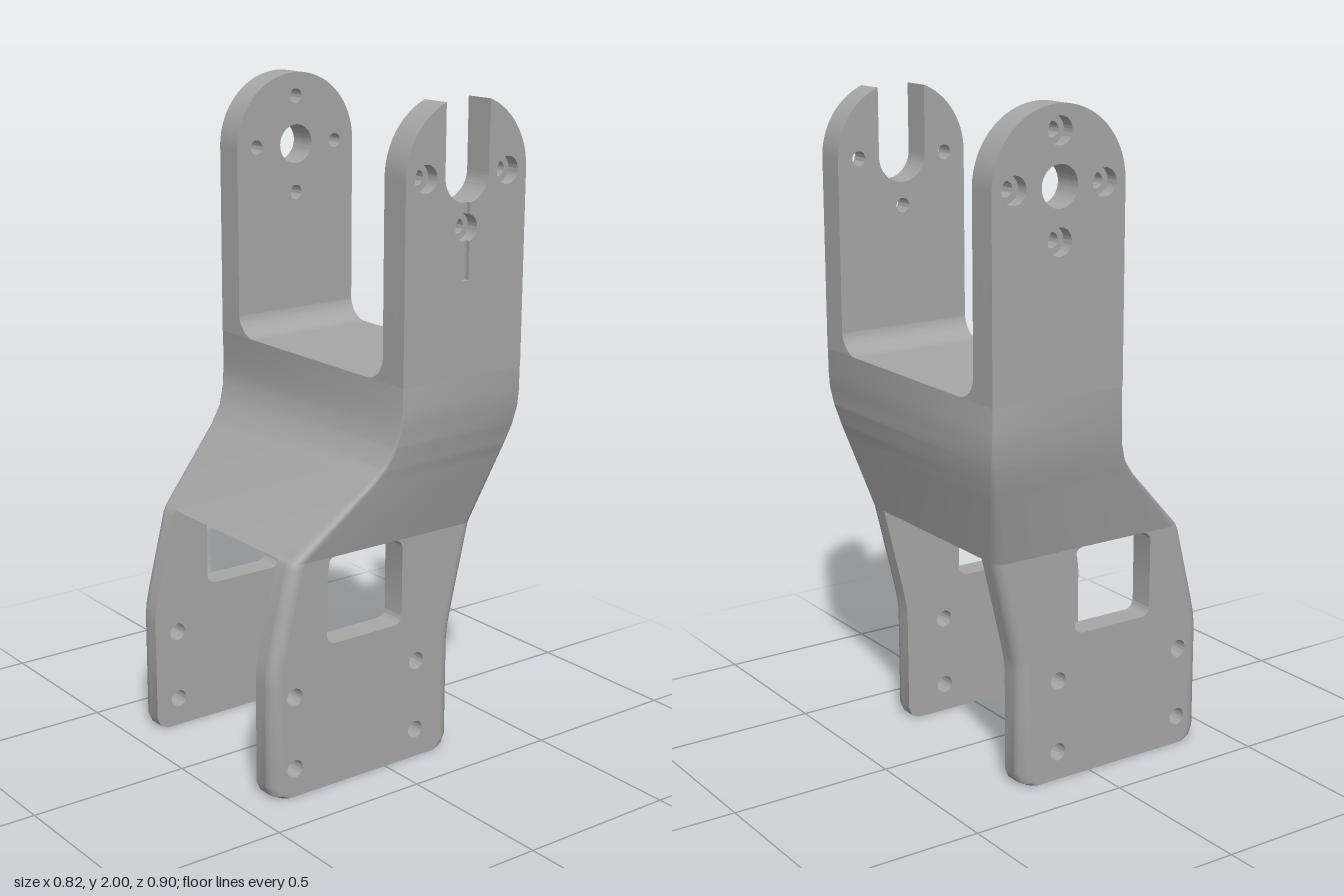
import * as THREE from 'three';
import { toCreasedNormals } from 'three/addons/utils/BufferGeometryUtils.js';

// Profiles as [y, value]: left edge, right edge and half depth of the bracket
const LEFT = [[0, -0.38], [0.012, -0.403], [0.04, -0.415], [0.37, -0.415], [0.41, -0.411], [0.46, -0.4], [0.69, -0.342],
  [0.71, -0.333], [0.92, -0.112], [0.97, -0.07], [1.03, -0.044], [1.08, -0.034], [1.13, -0.03]];
const RIGHT = [[0, 0.215], [0.012, 0.238], [0.04, 0.25], [0.35, 0.25], [0.39, 0.254], [0.44, 0.264], [0.71, 0.328],
  [0.95, 0.387], [1.02, 0.402], [1.08, 0.409], [1.13, 0.41]];
const HALF = [[0.71, 0.35], [0.96, 0.421], [1.02, 0.436], [1.08, 0.446], [1.13, 0.45]];
const PLATE_TOP = 0.74, BRIDGE_Y0 = 0.71, BRIDGE_Y1 = 1.2;
const PLATE_IN = 0.27, PLATE_OUT = 0.35, ROUND = 0.035;
const CX = 0.19, CY = 1.78, ARM_R = 0.22, SLOT_R = 0.08, BORE_R = 0.04, BOLT_R = 0.022;

function at(table, y) {
  if (y <= table[0][0]) return table[0][1];
  for (let i = 1; i < table.length; i++) {
    const [y0, v0] = table[i - 1], [y1, v1] = table[i];
    if (y <= y1) return v0 + (v1 - v0) * (y - y0) / (y1 - y0);
  }
  return table[table.length - 1][1];
}

// All profile heights between two limits
function heights(from, to) {
  const ys = [...LEFT, ...RIGHT, ...HALF].map(p => p[0]).filter(y => y > from && y < to);
  return [...new Set([from, ...ys, to])].sort((a, b) => a - b);
}

// Capped solid through convex rings stacked upwards, counter-clockwise from above
function loft(rings) {
  const n = rings[0].length, pos = [], idx = [];
  rings.forEach(r => r.forEach(p => pos.push(p.x, p.y, p.z)));
  for (let j = 0; j < rings.length - 1; j++) {
    for (let i = 0; i < n; i++) {
      const a = j * n + i, b = j * n + (i + 1) % n;
      idx.push(a, b, b + n, a, b + n, a + n);
    }
  }
  for (const j of [0, rings.length - 1]) {
    const c = new THREE.Vector3();
    rings[j].forEach(p => c.addScaledVector(p, 1 / n));
    const k = pos.length / 3;
    pos.push(c.x, c.y, c.z);
    for (let i = 0; i < n; i++) {
      const a = j * n + i, b = j * n + (i + 1) % n;
      if (j) idx.push(k, a, b); else idx.push(k, b, a);
    }
  }
  const g = new THREE.BufferGeometry();
  g.setAttribute('position', new THREE.Float32BufferAttribute(pos, 3));
  g.setIndex(idx);
  return toCreasedNormals(g, 0.45);
}

const circle = (x, y, r) => new THREE.Path().absarc(x, y, r, 0, Math.PI * 2, true);

function slab(shape, z0, z1) {
  const g = new THREE.ExtrudeGeometry(shape, { depth: z1 - z0, bevelEnabled: false, curveSegments: 28 });
  g.translate(0, 0, z0);
  return toCreasedNormals(g, 0.45);
}

// Lower side plate outline with window and four bolt holes
function plateShape(inset) {
  const ys = heights(0, PLATE_TOP);
  const pts = ys.map(y => new THREE.Vector2(at(RIGHT, y) - inset, y));
  ys.reverse().forEach(y => pts.push(new THREE.Vector2(at(LEFT, y) + inset, y)));
  const s = new THREE.Shape(pts);
  const x0 = -0.22, x1 = 0.057, y0 = 0.445, y1 = 0.71, r = 0.03, q = Math.PI / 2;
  s.holes.push(new THREE.Path()
    .absarc(x0 + r, y0 + r, r, 2 * q, 3 * q)
    .absarc(x1 - r, y0 + r, r, 3 * q, 4 * q)
    .absarc(x1 - r, y1 - r, r, 0, q)
    .absarc(x0 + r, y1 - r, r, q, 2 * q));
  for (const x of [-0.335, 0.115]) for (const y of [0.088, 0.312]) s.holes.push(circle(x, y, 0.027));
  return s;
}

// Quarter-round edge along one side of a lower plate
function plateEdge(sx, sz) {
  return loft(heights(0, PLATE_TOP).map(y => {
    const cx = (sx > 0 ? at(RIGHT, y) : at(LEFT, y)) - sx * ROUND, cz = sz * (PLATE_OUT - ROUND);
    const ring = [new THREE.Vector3(cx, y, cz)];
    for (let i = 0; i <= 6; i++) {
      const a = i / 6 * Math.PI / 2;
      ring.push(new THREE.Vector3(cx + sx * ROUND * Math.cos(a), y, cz + sz * ROUND * Math.sin(a)));
    }
    return sx * sz > 0 ? ring.reverse() : ring;
  }));
}

// Bridge block: rounded rectangles whose corners sharpen towards the arms
function bridgeGeometry() {
  return loft(heights(BRIDGE_Y0, BRIDGE_Y1).map(y => {
    const x0 = at(LEFT, y), x1 = at(RIGHT, y), h = at(HALF, y);
    const r = Math.max(0.003, ROUND * Math.min(1, (1.12 - y) / 0.35));
    const ring = [];
    for (let k = 0; k < 4; k++) {
      const cx = k === 0 || k === 3 ? x1 - r : x0 + r, cz = k < 2 ? -h + r : h - r;
      for (let i = 0; i <= 6; i++) {
        const a = (k + i / 6) * Math.PI / 2;
        ring.push(new THREE.Vector3(cx + r * Math.cos(a), y, cz - r * Math.sin(a)));
      }
    }
    return ring;
  }));
}

// Upper arm outline: round top, optionally with an open slot and a groove below it
function armShape({ slot = false, groove = false, holeR = 0 }) {
  const P = Math.PI, s = new THREE.Shape();
  s.moveTo(CX - ARM_R, BRIDGE_Y1).lineTo(CX + ARM_R, BRIDGE_Y1);
  if (slot) {
    const t = Math.acos(SLOT_R / ARM_R);
    s.absarc(CX, CY, ARM_R, 0, t);
    if (groove) {
      const w = 0.013, a = Math.acos(w / SLOT_R), b = Math.acos(w / BORE_R);
      s.absarc(CX, CY, SLOT_R, 0, -a, true);
      s.absarc(CX, 1.63, BORE_R, b, -b, true);
      s.lineTo(CX + w, 1.48).lineTo(CX - w, 1.48);
      s.absarc(CX, 1.63, BORE_R, P + b, P - b, true);
      s.absarc(CX, CY, SLOT_R, -P + a, -P, true);
    } else {
      s.absarc(CX, CY, SLOT_R, 0, -P, true);
    }
    s.absarc(CX, CY, ARM_R, P - t, P);
  } else {
    s.absarc(CX, CY, ARM_R, 0, P);
    s.holes.push(circle(CX, CY, 0.06), circle(CX, 1.928, holeR));
  }
  s.holes.push(circle(CX - 0.149, CY, holeR), circle(CX + 0.149, CY, holeR));
  if (!groove) s.holes.push(circle(CX, 1.63, holeR));
  return s;
}

// Concave fillet where an arm meets the bridge top
function filletGeometry(side) {
  const r = 0.075, z = 0.358, w = ARM_R * 2;
  const s = new THREE.Shape().moveTo(z, BRIDGE_Y1).lineTo(z, BRIDGE_Y1 + r);
  s.absarc(z - r, BRIDGE_Y1 + r, r, 0, -Math.PI / 2, true);
  const g = new THREE.ExtrudeGeometry(s, { depth: w, bevelEnabled: false, curveSegments: 12 });
  g.translate(0, 0, -w / 2).rotateY(-side * Math.PI / 2).translate(CX, 0, 0);
  return toCreasedNormals(g, 0.45);
}

export function createModel() {
  const metal = new THREE.MeshStandardMaterial({ color: 0xa6a6a6 });
  metal.name = 'grey metal';
  const model = new THREE.Group();
  model.name = 'bracket';
  const group = name => {
    const g = new THREE.Group();
    g.name = name;
    model.add(g);
    return g;
  };
  const add = (parent, name, geometry) => {
    const m = new THREE.Mesh(geometry, metal);
    m.name = name;
    parent.add(m);
  };

  add(model, 'bridge', bridgeGeometry());

  // Lower plates, rounded along their outer edges
  for (const [name, side] of [['frontLowerPlate', 1], ['backLowerPlate', -1]]) {
    const g = group(name), mid = PLATE_OUT - ROUND;
    const layer = (shape, a, b) => side > 0 ? slab(shape, a, b) : slab(shape, -b, -a);
    add(g, 'innerPlate', layer(plateShape(0), PLATE_IN, mid));
    add(g, 'outerPlate', layer(plateShape(ROUND), mid, PLATE_OUT));
    for (const sx of [1, -1]) add(g, sx > 0 ? 'leftEdge' : 'rightEdge', plateEdge(sx, side));
  }

  // Front arm: open slot, counterbored holes and a shallow groove
  const front = group('frontArm');
  add(front, 'groovedFace', slab(armShape({ slot: true, groove: true, holeR: BORE_R }), 0.435, 0.45));
  add(front, 'counterboreLayer', slab(armShape({ slot: true, holeR: BORE_R }), 0.41, 0.435));
  add(front, 'innerLayer', slab(armShape({ slot: true, holeR: BOLT_R }), 0.357, 0.41));
  add(front, 'fillet', filletGeometry(1));

  // Back arm: centre hole and four counterbored holes
  const back = group('backArm');
  add(back, 'counterboreLayer', slab(armShape({ holeR: BORE_R }), -0.45, -0.41));
  add(back, 'innerLayer', slab(armShape({ holeR: BOLT_R }), -0.41, -0.357));
  add(back, 'fillet', filletGeometry(-1));

  return model;
}
